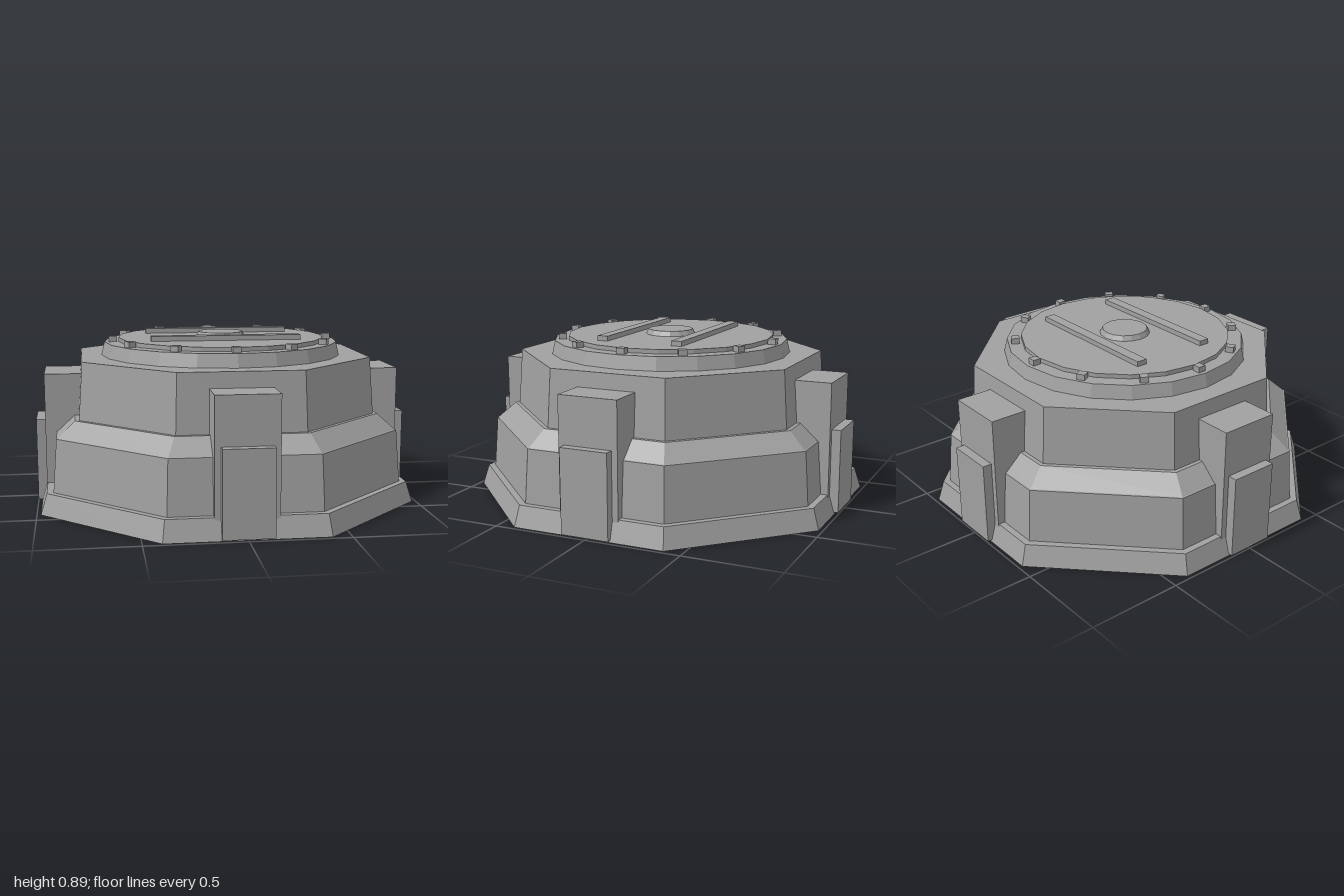
import * as THREE from 'three';

export function createModel() {
  const model = new THREE.Group();
  const grey = new THREE.MeshStandardMaterial({ color: 0xa0a0a0, flatShading: true });
  grey.name = 'concrete grey';

  function add(name, geometry, x = 0, y = 0, z = 0, parent = model) {
    const mesh = new THREE.Mesh(geometry, grey);
    mesh.name = name;
    mesh.position.set(x, y, z);
    parent.add(mesh);
    return mesh;
  }

  // Stepped octagonal body: [distance from axis to flat side, height]
  const steps = [
    [0, 0], [0.98, 0], [0.948, 0.108], [0.914, 0.108], [0.893, 0.385],
    [0.886, 0.388], [0.797, 0.47], [0.776, 0.47], [0.755, 0.77], [0, 0.77],
  ];
  const toCorner = 1 / Math.cos(Math.PI / 8);
  const profile = steps.map(([r, y]) => new THREE.Vector2(r * toCorner, y));
  add('body', new THREE.LatheGeometry(profile, 8, Math.PI / 8));

  // Buttress with a raised front panel on each of the four main sides
  for (let i = 0; i < 4; i++) {
    const buttress = new THREE.Group();
    buttress.name = 'buttress' + (i + 1);
    buttress.rotation.y = i * Math.PI / 2;
    add('pier', new THREE.BoxGeometry(0.316, 0.65, 0.25), 0, 0.365, 0.827, buttress);
    add('pierPanel', new THREE.BoxGeometry(0.254, 0.435, 0.1), 0, 0.2275, 0.95, buttress);
    model.add(buttress);
  }

  // Round hatch on the roof
  add('hatchRing', new THREE.CylinderGeometry(0.63, 0.647, 0.07, 20), 0, 0.805, 0);
  add('hatchLid', new THREE.CylinderGeometry(0.555, 0.555, 0.022, 20), 0, 0.851, 0);
  add('hub', new THREE.CylinderGeometry(0.12, 0.135, 0.028, 16), 0, 0.874, 0);
  for (const z of [-0.21, 0.21]) {
    add('rail', new THREE.BoxGeometry(0.79, 0.028, 0.058), 0, 0.874, z);
  }

  // Ring of bolts
  for (let i = 0; i < 12; i++) {
    const a = i * Math.PI / 6;
    const bolt = add('bolt', new THREE.BoxGeometry(0.043, 0.03, 0.043),
      Math.sin(a) * 0.586, 0.855, Math.cos(a) * 0.586);
    bolt.rotation.y = a;
  }

  return model;
}
